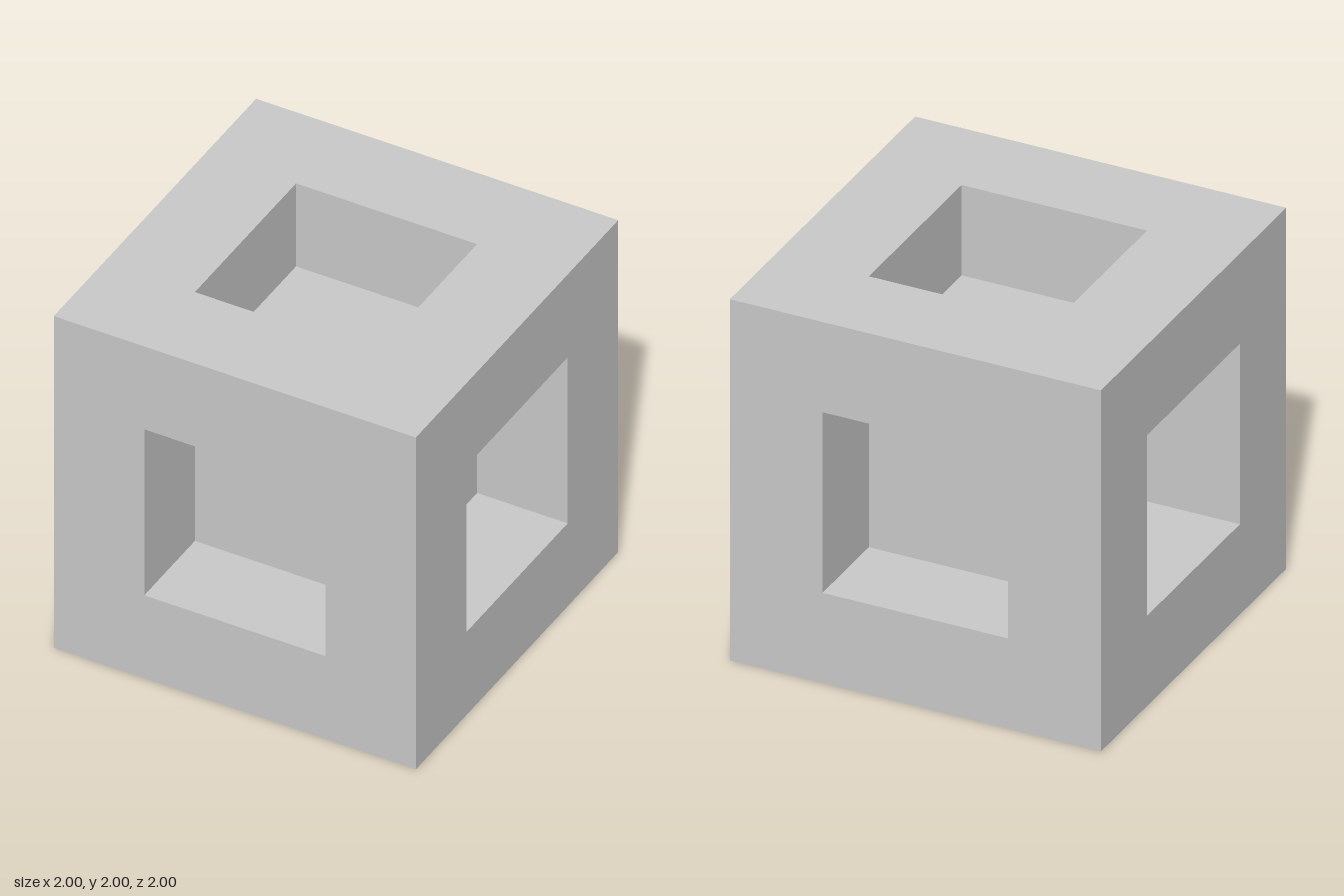
import * as THREE from 'three';
import { mergeGeometries } from 'three/addons/utils/BufferGeometryUtils.js';

const HALF = 1;      // half the cube's edge
const RECESS = 0.5;  // half the recess opening
const DEPTH = 0.5;   // recess depth

// One side of the cube, facing +z: square rim, four recess walls and a floor
function createSideGeometry() {
  const outline = new THREE.Shape([
    new THREE.Vector2(-HALF, -HALF), new THREE.Vector2(HALF, -HALF),
    new THREE.Vector2(HALF, HALF), new THREE.Vector2(-HALF, HALF),
  ]);
  outline.holes.push(new THREE.Path([
    new THREE.Vector2(-RECESS, -RECESS), new THREE.Vector2(-RECESS, RECESS),
    new THREE.Vector2(RECESS, RECESS), new THREE.Vector2(RECESS, -RECESS),
  ]));
  const parts = [
    new THREE.ShapeGeometry(outline).translate(0, 0, HALF),
    new THREE.PlaneGeometry(2 * RECESS, 2 * RECESS).translate(0, 0, HALF - DEPTH),
  ];
  // Walls look inward to the middle of the recess
  for (let i = 0; i < 4; i++) {
    parts.push(new THREE.PlaneGeometry(2 * RECESS, DEPTH)
      .rotateX(-Math.PI / 2)
      .translate(0, -RECESS, HALF - DEPTH / 2)
      .rotateZ(i * Math.PI / 2));
  }
  return mergeGeometries(parts);
}

export function createModel() {
  const model = new THREE.Group();
  model.name = 'recessedCube';
  const material = new THREE.MeshStandardMaterial({ color: 0xcccccc, flatShading: true });
  const geometry = createSideGeometry();
  const q = Math.PI / 2;

  // The same recessed side turned to all six directions
  const sides = [
    ['frontSide', 0, 0], ['leftSide', 0, q], ['backSide', 0, 2 * q],
    ['rightSide', 0, -q], ['topSide', -q, 0], ['bottomSide', q, 0],
  ];
  for (const [name, rx, ry] of sides) {
    const side = new THREE.Mesh(geometry, material);
    side.name = name;
    side.rotation.set(rx, ry, 0);
    side.position.y = HALF;
    model.add(side);
  }
  return model;
}
